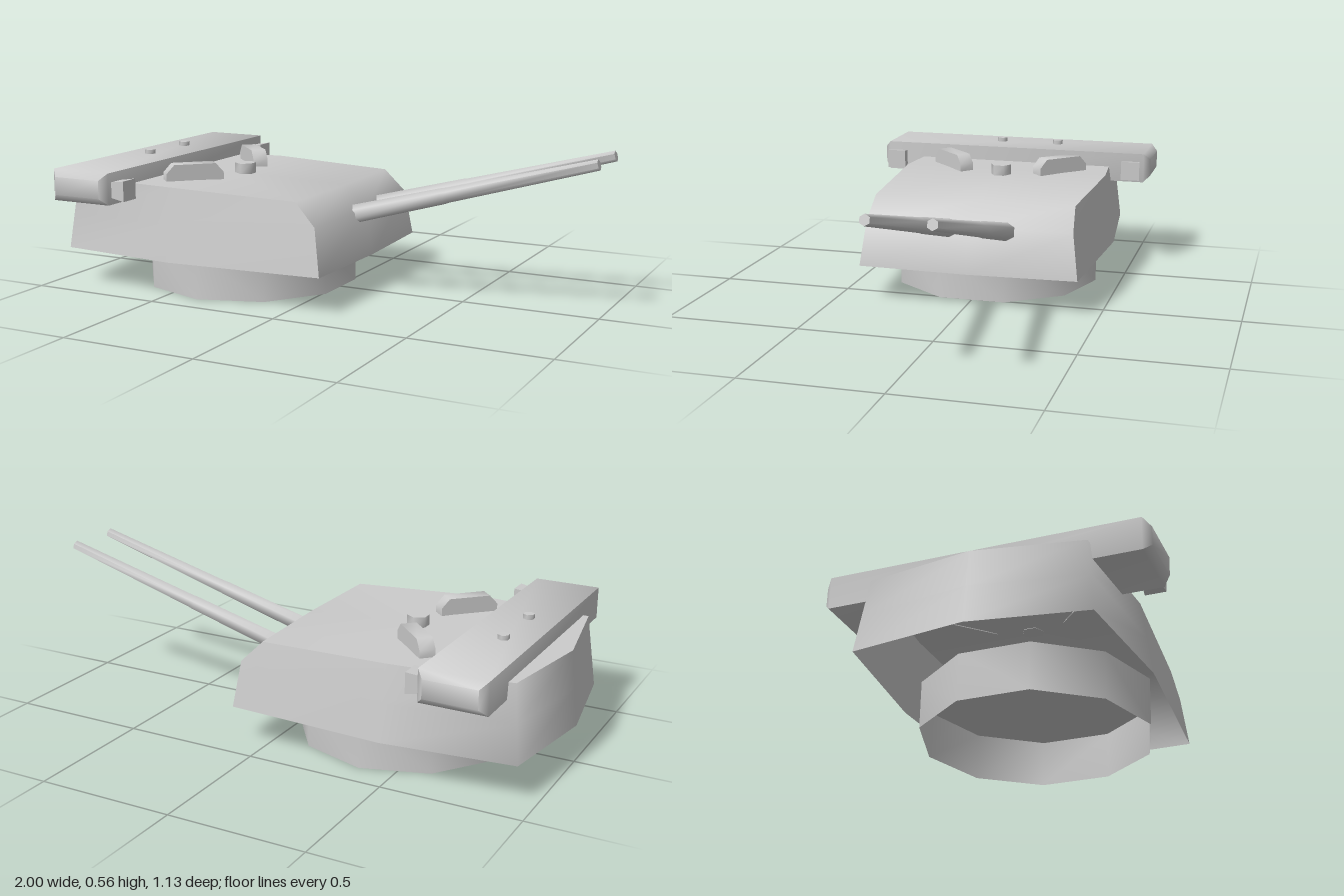
import * as THREE from 'three';
import { toCreasedNormals } from 'three/addons/utils/BufferGeometryUtils.js';

const material = new THREE.MeshStandardMaterial({ color: 0xcccccc, side: THREE.DoubleSide });

export function createModel() {
  const group = new THREE.Group();

  const add = (name, geometry, x = 0, y = 0, z = 0, crease = 0.95) => {
    const mesh = new THREE.Mesh(toCreasedNormals(geometry, crease), material);
    mesh.name = name;
    mesh.position.set(x, y, z);
    group.add(mesh);
    return mesh;
  };

  // Turret shell, open below: each station is a wall line of bottom, middle and top points
  const stations = [
    [[-1, 0.135, 0], [-0.985, 0.27, 0], [-0.97, 0.403, 0]],
    [[-0.935, 0.135, 0.4], [-0.92, 0.27, 0.385], [-0.905, 0.403, 0.37]],
    [[-0.47, 0.135, 0.445], [-0.47, 0.27, 0.425], [-0.47, 0.403, 0.405]],
    [[0.128, 0.135, 0.402], [0.1, 0.305, 0.38], [0.02, 0.387, 0.37]],
    [[0.137, 0.135, -0.01], [0.112, 0.305, -0.01], [0.025, 0.387, -0.01]],
    [[0.117, 0.135, -0.423], [0.092, 0.305, -0.4], [0.01, 0.387, -0.39]],
    [[-0.47, 0.135, -0.455], [-0.47, 0.27, -0.435], [-0.47, 0.403, -0.415]],
    [[-0.94, 0.135, -0.405], [-0.925, 0.27, -0.39], [-0.91, 0.403, -0.375]],
  ];
  const roofCentre = [-0.47, 0.403, 0];
  const points = [];
  stations.forEach((a, i) => {
    const b = stations[(i + 1) % stations.length];
    for (let k = 0; k < 2; k++) points.push(a[k], b[k], b[k + 1], a[k], b[k + 1], a[k + 1]);
    points.push(roofCentre, a[2], b[2]);
  });
  const shell = new THREE.BufferGeometry();
  shell.setAttribute('position', new THREE.Float32BufferAttribute(points.flat(), 3));
  add('turretShell', shell, 0, 0, 0, 1.36);

  // Ten-sided ring under the turret, closed on top and hollow below
  const ringProfile = [[0.403, 0], [0.403, 0.168], [0, 0.168]].map(([r, y]) => new THREE.Vector2(r, y));
  add('turretRing', new THREE.LatheGeometry(ringProfile, 10), -0.372, 0, 0);

  // Twin tapered barrels, raised, with a hexagon corner on top
  const length = 0.955;
  const barrelProfile = [[0, 0], [0.034, 0], [0.029, 0.38], [0.027, 0.4], [0.019, length], [0, length]]
    .map(([r, h]) => new THREE.Vector2(r, h));
  const elevation = 0.268;
  for (const z of [0.056, -0.156]) {
    const barrel = add('gunBarrel', new THREE.LatheGeometry(barrelProfile, 6, Math.PI / 6),
      0.995 - length * Math.cos(elevation), 0.543 - length * Math.sin(elevation), z, 1.1);
    barrel.rotation.z = elevation - Math.PI / 2;
  }

  // Rangefinder: a long box with chamfered ends
  const section = new THREE.Shape([[-0.12, -0.058], [0.12, -0.058], [0.12, 0.058], [-0.12, 0.058]]
    .map(([x, y]) => new THREE.Vector2(x, y)));
  const rangefinder = new THREE.ExtrudeGeometry(section, {
    depth: 1.08, bevelThickness: 0.025, bevelSize: 0.025, bevelOffset: -0.025, bevelSegments: 1,
  }).translate(0, 0, -0.54);
  add('rangefinder', rangefinder, -0.765, 0.403, 0);

  // Flared square sights at both ends of the rangefinder
  for (const [x, z] of [[-0.622, 0.493], [-0.632, -0.493]]) {
    const sight = new THREE.CylinderGeometry(0.037 * Math.SQRT2, 0.027 * Math.SQRT2, 0.07, 4, 1)
      .rotateY(Math.PI / 4).rotateZ(-Math.PI / 2);
    add('rangefinderSight', sight, x, 0.398, z, 0.5);
  }

  // Small caps on the rangefinder and a larger one on the roof
  for (const z of [0.083, -0.157]) {
    add('rangefinderCap', new THREE.CylinderGeometry(0.021, 0.021, 0.025, 6), -0.78, 0.465, z, 1.1);
  }
  add('roofPeriscope', new THREE.CylinderGeometry(0.04, 0.04, 0.04, 6), -0.403, 0.42, -0.007, 1.1);

  // Angled roof hoods with sloped ends
  const hoodShape = new THREE.Shape([[-0.108, 0], [0.108, 0], [0.108, 0.03], [0.078, 0.063], [-0.078, 0.063], [-0.108, 0.03]]
    .map(([x, y]) => new THREE.Vector2(x, y)));
  for (const side of [1, -1]) {
    const hood = new THREE.ExtrudeGeometry(hoodShape, { depth: 0.057, bevelEnabled: false })
      .translate(0, 0, -0.0285).rotateY(side * Math.PI / 4);
    add('roofHood', hood, -0.495, 0.4, side * 0.22 - 0.005);
  }

  return group;
}
